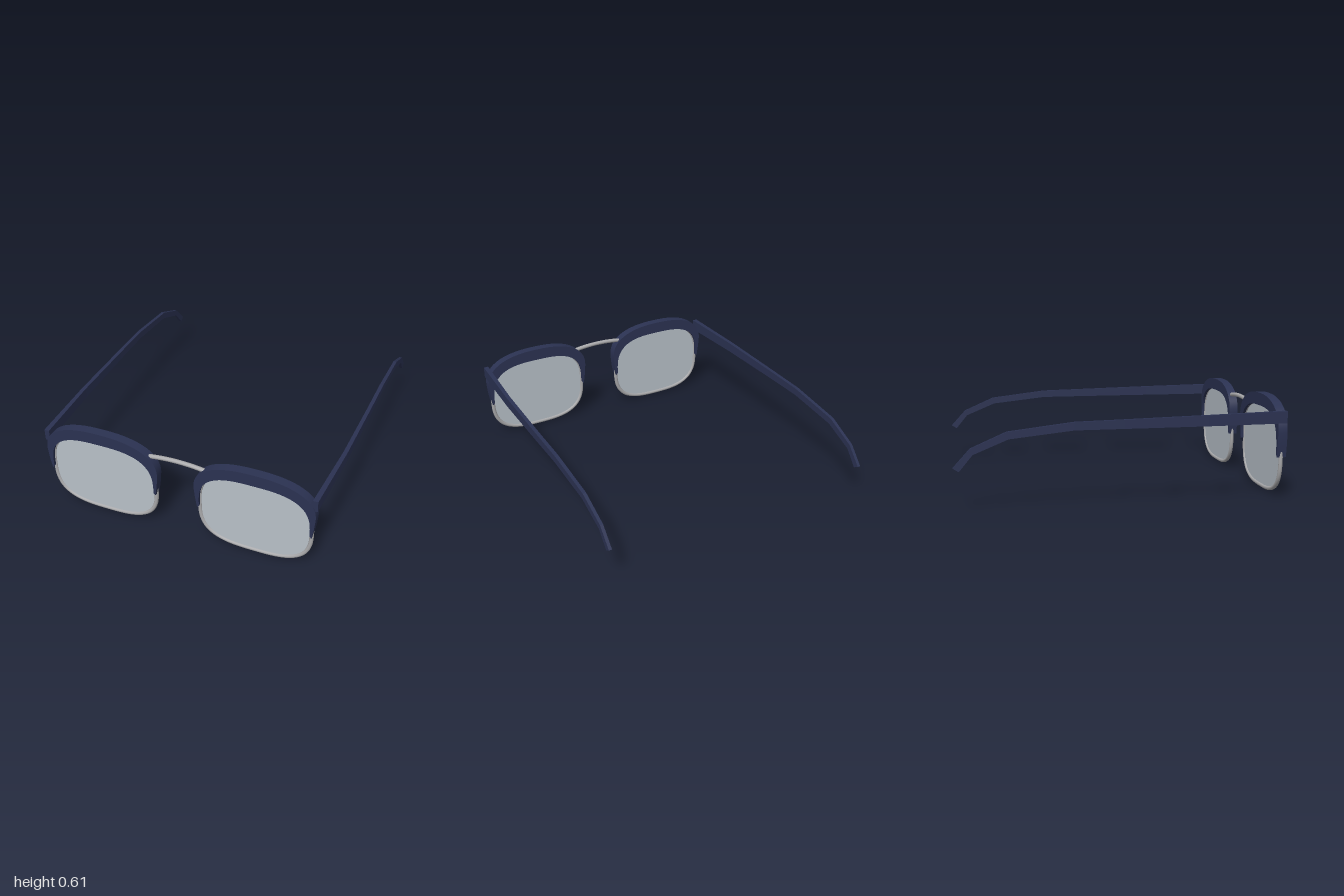
import * as THREE from 'three';
import { toCreasedNormals } from 'three/addons/utils/BufferGeometryUtils.js';

const navy = new THREE.MeshStandardMaterial({ color: 0x2b3252 });
navy.name = 'navy acetate';
const silver = new THREE.MeshStandardMaterial({ color: 0xa8a8aa });
silver.name = 'silver metal';
const glass = new THREE.MeshStandardMaterial({ color: 0xb8c0c8 });
glass.name = 'pale lens';

const EYE_X = 0.497, RIM_Z = 0.97;

// Point on a rounded-square curve
function superPoint(angle, w, h, n, cy) {
  const c = Math.cos(angle), s = Math.sin(angle);
  return new THREE.Vector2(
    Math.sign(c) * w * Math.abs(c) ** (2 / n),
    cy + Math.sign(s) * h * Math.abs(s) ** (2 / n));
}

function loop(w, h, n, cy, count = 64) {
  return Array.from({ length: count }, (_, i) => superPoint(i / count * Math.PI * 2, w, h, n, cy));
}

function addMesh(parent, name, geometry, material) {
  const mesh = new THREE.Mesh(geometry, material);
  mesh.name = name;
  parent.add(mesh);
  return mesh;
}

function extrude(points, depth, z) {
  const geo = new THREE.ExtrudeGeometry(new THREE.Shape(points), { depth, bevelEnabled: false });
  return toCreasedNormals(geo.translate(0, 0, z), 0.6);
}

// Brow: thick on top, tapering down both sides of the lens
function browGeometry() {
  const points = [new THREE.Vector2(0.359, 0.253), new THREE.Vector2(0.371, 0.33)];
  for (let i = 0; i <= 40; i++) points.push(superPoint(i / 40 * Math.PI, 0.378, 0.207, 2.4, 0.405));
  points.push(new THREE.Vector2(-0.371, 0.33), new THREE.Vector2(-0.359, 0.253));
  const start = -0.012;
  for (let i = 40; i >= 0; i--) {
    points.push(superPoint(start + i / 40 * (Math.PI - 2 * start), 0.347, 0.252, 3, 0.28));
  }
  return extrude(points, 0.058, 0.942);
}

// Temple arm lofted through rectangular sections: x, half width, top z, top y, bottom z, bottom y
function templeGeometry(side) {
  const sections = [
    [0.866, 0.016, 0.995, 0.538, 0.995, 0.464],
    [0.890, 0.013, 0.5, 0.525, 0.5, 0.460],
    [0.897, 0.012, 0.0, 0.511, 0.0, 0.457],
    [0.899, 0.012, -0.30, 0.503, -0.30, 0.455],
    [0.898, 0.011, -0.69, 0.455, -0.68, 0.412],
    [0.895, 0.010, -0.90, 0.362, -0.885, 0.326],
    [0.893, 0.010, -1.0, 0.251, -0.965, 0.229],
  ];
  const rings = sections.map(([x, w, zt, yt, zb, yb]) => [
    [side * x - w, yb, zb], [side * x + w, yb, zb],
    [side * x + w, yt, zt], [side * x - w, yt, zt],
  ]);
  const pos = [];
  const quad = (a, b, c, d) => pos.push(...a, ...b, ...c, ...a, ...c, ...d);
  for (let i = 0; i < rings.length - 1; i++) {
    const f = rings[i], b = rings[i + 1];
    for (let k = 0; k < 4; k++) {
      const m = (k + 1) % 4;
      quad(f[k], b[k], b[m], f[m]);
    }
  }
  quad(...rings[0]);
  const end = rings[rings.length - 1];
  quad(end[3], end[2], end[1], end[0]);
  const geo = new THREE.BufferGeometry();
  geo.setAttribute('position', new THREE.Float32BufferAttribute(pos, 3));
  geo.computeVertexNormals();
  return geo;
}

export function createModel() {
  const model = new THREE.Group();
  model.name = 'eyeglasses';

  const rimPath = new THREE.CatmullRomCurve3(
    loop(0.352, 0.265, 3, 0.278).map(p => new THREE.Vector3(p.x, p.y, RIM_Z)), true);
  const rim = new THREE.TubeGeometry(rimPath, 96, 0.013, 10, true);
  const lens = extrude(loop(0.35, 0.258, 3, 0.28), 0.008, RIM_Z - 0.004);
  const brow = browGeometry();

  for (const [side, label] of [[1, 'left'], [-1, 'right']]) {
    const eye = new THREE.Group();
    eye.name = label + 'Eye';
    eye.position.x = side * EYE_X;
    addMesh(eye, label + 'Rim', rim, silver);
    addMesh(eye, label + 'Lens', lens, glass);
    addMesh(eye, label + 'Brow', brow, navy);
    model.add(eye);
    addMesh(model, label + 'Temple', templeGeometry(side), navy);
  }

  // Arched bridge, its ends tucked into the brows
  const bridgePath = new THREE.CatmullRomCurve3([
    [-0.26, 0.503], [-0.17, 0.527], [0, 0.54], [0.17, 0.527], [0.26, 0.503],
  ].map(([x, y]) => new THREE.Vector3(x, y, RIM_Z)));
  addMesh(model, 'bridge', new THREE.TubeGeometry(bridgePath, 32, 0.014, 10), silver);
  return model;
}
